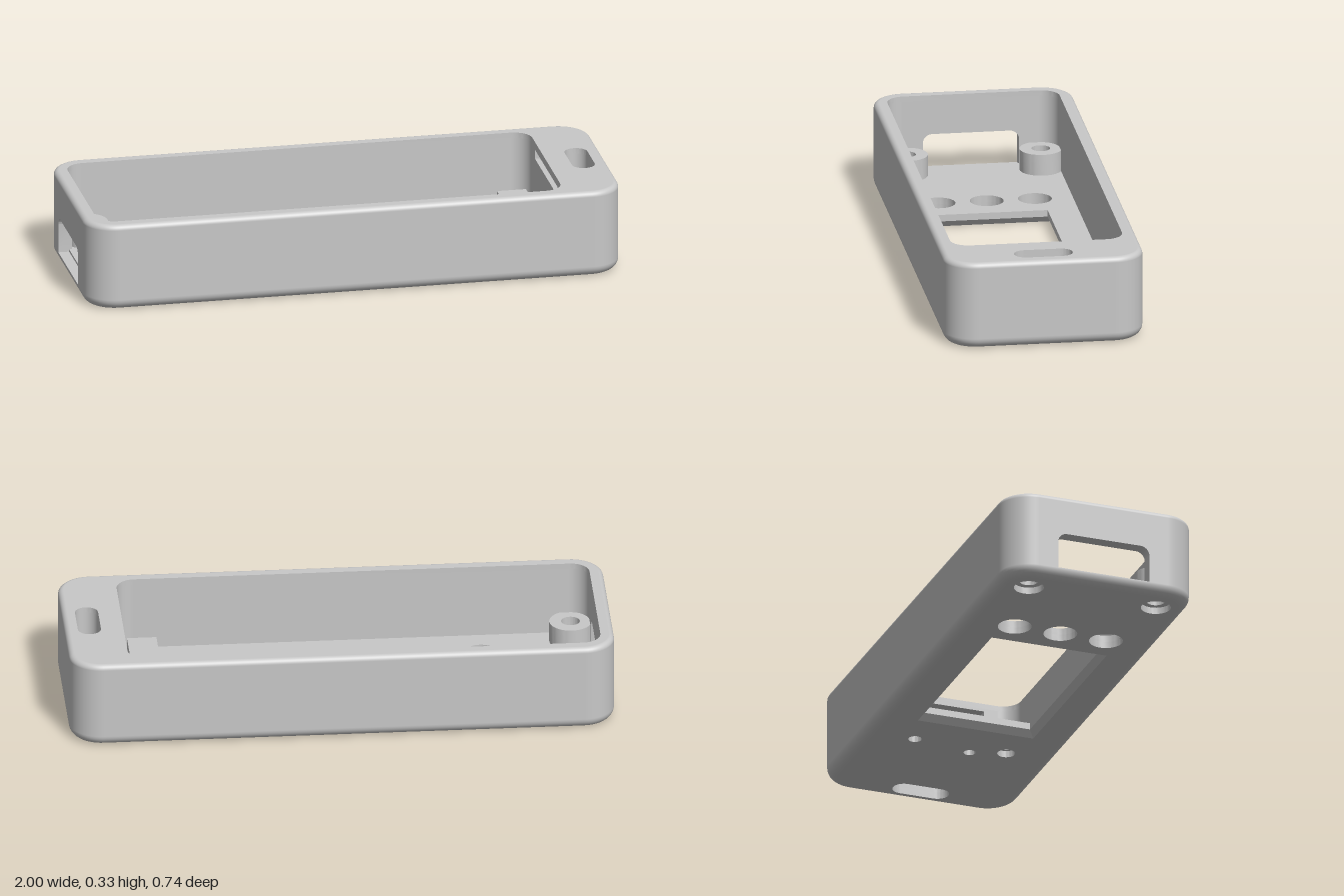
import * as THREE from 'three';
import { toCreasedNormals } from 'three/addons/utils/BufferGeometryUtils.js';

const N = 12; // segments per rounded corner
const H = 0.33, FLOOR = 0.05, LOW = 0.025, RIM = 0.31;
const OUTER = { hx: 1, hz: 0.368, r: 0.118 };
const CAVITY = { cx: -0.0825, hx: 0.8675, hz: 0.318, r: 0.068 };
const STRAP = { cx: 0.91, hx: 0.0425, hz: 0.108, r: 0.0425 };
const END_LEFT = 2 * (N + 1) - 1, END_RIGHT = 4 * (N + 1) - 1; // straight end segments

// Rounded rectangle in plan: points with their outward direction
function outline({ cx = 0, cz = 0, hx, hz, r = 0, frontR = r }, inset = 0) {
  const pts = [];
  [[1, 1], [-1, 1], [-1, -1], [1, -1]].forEach(([sx, sz], k) => {
    const cr = sz > 0 ? frontR : r, n = cr > 0 ? N : 0;
    for (let i = 0; i <= n; i++) {
      const a = (k + (n ? i / n : 0.5)) * Math.PI / 2;
      const dx = Math.cos(a), dz = Math.sin(a);
      pts.push({
        x: cx + sx * (hx - cr) + dx * (cr - inset),
        z: cz + sz * (hz - cr) + dz * (cr - inset), dx, dz,
      });
    }
  });
  return pts;
}
const circle = (cx, cz, r) => ({ cx, cz, hx: r, hz: r, r });

// Skin through stacked rings { inset, y, tilt }; inward = wall of a hole
function loft(rect, rings, { skip = [], inward = false } = {}) {
  const pos = [], nor = [], idx = [], s = inward ? -1 : 1;
  let m = 0;
  for (const { inset = 0, y, tilt = 0 } of rings) {
    const pts = outline(rect, inset), c = Math.cos(tilt);
    m = pts.length;
    for (const p of pts) {
      pos.push(p.x, y, p.z);
      nor.push(s * p.dx * c, s * Math.sin(tilt), s * p.dz * c);
    }
  }
  for (let j = 0; j < rings.length - 1; j++) {
    for (let i = 0; i < m; i++) {
      if (skip.includes(i)) continue;
      const a = j * m + i, b = j * m + (i + 1) % m, c = a + m, d = b + m;
      if (inward) idx.push(a, b, c, b, d, c);
      else idx.push(a, c, b, b, c, d);
    }
  }
  const g = new THREE.BufferGeometry();
  g.setAttribute('position', new THREE.Float32BufferAttribute(pos, 3));
  g.setAttribute('normal', new THREE.Float32BufferAttribute(nor, 3));
  g.setIndex(idx);
  return g;
}

// Counter-clockwise shape, so that the hole walls face into the holes
function shapeOf(rect, holes, inset = 0) {
  const path = (r, i) => outline(r, i).map(p => new THREE.Vector2(p.x, -p.z)).reverse();
  const shape = new THREE.Shape(path(rect, inset));
  shape.holes = holes.map(h => new THREE.Path(path(h, 0)));
  return shape;
}

// Horizontal plate with holes between two heights
function plate(rect, holes, y0, y1, inset = 0) {
  const g = new THREE.ExtrudeGeometry(shapeOf(rect, holes, inset), { depth: y1 - y0, bevelEnabled: false });
  return g.rotateX(-Math.PI / 2).translate(0, y0, 0);
}

// Upright end panel with one opening, running along +x from x0
function endPanel(x0, depth, y0, y1, opening) {
  const frame = { cz: -(y0 + y1) / 2, hx: 0.25, hz: (y1 - y0) / 2 };
  const g = new THREE.ExtrudeGeometry(shapeOf(frame, [opening]), { depth, bevelEnabled: false });
  return g.rotateY(Math.PI / 2).translate(x0, 0, 0);
}

function fillet(r, top) {
  return Array.from({ length: 9 }, (_, i) => {
    const t = i / 8 * Math.PI / 2, tilt = top ? t : t - Math.PI / 2;
    return { inset: r * (1 - Math.cos(tilt)), y: (top ? H - r : r) + r * Math.sin(tilt), tilt };
  });
}

export function createModel() {
  const group = new THREE.Group();
  const grey = new THREE.MeshStandardMaterial({ color: 0xc8c8c8 });
  grey.name = 'grey plastic';
  const add = (name, geometry) => {
    const mesh = new THREE.Mesh(geometry, grey);
    mesh.name = name;
    group.add(mesh);
  };
  const creased = g => toCreasedNormals(g, 0.5);

  // Outer skin: rounded bottom edge, straight sides, small top edge
  add('bottomEdge', loft(OUTER, fillet(0.04, false)));
  add('outerWall', loft(OUTER, [{ y: 0.04 }, { y: RIM }], { skip: [END_LEFT] }));
  add('topEdge', loft(OUTER, fillet(H - RIM, true)));

  // Cavity and strap slot walls
  add('innerWall', loft(CAVITY, [{ y: FLOOR }, { y: RIM }], { skip: [END_LEFT, END_RIGHT], inward: true }));
  add('strapSlotWall', loft(STRAP, [{ y: FLOOR }, { y: RIM }], { inward: true }));
  add('rim', creased(plate(OUTER, [CAVITY, STRAP], RIM, H, H - RIM)));

  // Floor in two layers; the lower has wider screw holes and a chamfered window
  const WIN = { cx: -0.044, hx: 0.363, hz: 0.205 }, CH = 0.02;
  const buttons = [-0.178, 0, 0.178].map(z => circle(-0.546, z, 0.062));
  const shared = [STRAP, ...buttons, circle(0.494, -0.178, 0.025), circle(0.534, 0.05, 0.022)];
  const posts = [-0.248, 0.248];

  const lower = plate(OUTER, [
    ...shared, circle(0.494, 0.178, 0.033),
    { ...WIN, hx: WIN.hx + CH, hz: WIN.hz + CH },
    ...posts.map(z => circle(-0.88, z, 0.055)),
  ], 0, LOW, 0.04);
  const p = lower.attributes.position;
  for (let i = 0; i < p.count; i++) {
    const x = p.getX(i) - WIN.cx, z = p.getZ(i);
    if (p.getY(i) > LOW / 2 && Math.abs(x) < WIN.hx + CH + 0.001 && Math.abs(z) < WIN.hz + CH + 0.001) {
      p.setX(i, WIN.cx + Math.sign(x) * WIN.hx);
      p.setZ(i, Math.sign(z) * WIN.hz);
    }
  }
  add('lowerFloor', creased(lower));
  add('upperFloor', creased(plate(OUTER, [
    ...shared, circle(0.494, 0.178, 0.025), WIN,
    ...posts.map(z => circle(-0.88, z, 0.034)),
  ], LOW, FLOOR, 0.04)));

  // Screw posts in the two corners
  for (const z of posts) {
    add('screwPost', creased(plate(circle(-0.88, z, 0.078), [circle(-0.88, z, 0.034)], FLOOR, 0.13)));
  }

  // Connector opening in one end, latch recess in the other
  add('connectorEnd', creased(endPanel(-1, 0.05, 0.04, RIM,
    { cz: -0.1105, hx: 0.178, hz: 0.0695, r: 0.035, frontR: 0 })));
  add('latchEnd', creased(endPanel(0.785, 0.04, FLOOR, RIM, { cz: -0.2825, hx: 0.2, hz: 0.0175 })));
  add('latchRecessBack', new THREE.BoxGeometry(0.015, 0.05, 0.42).translate(0.83, 0.2825, 0));

  // Support block on the floor
  add('supportBlock', new THREE.BoxGeometry(0.108, 0.1, 0.4).translate(0.697, 0.1, 0));
  return group;
}
